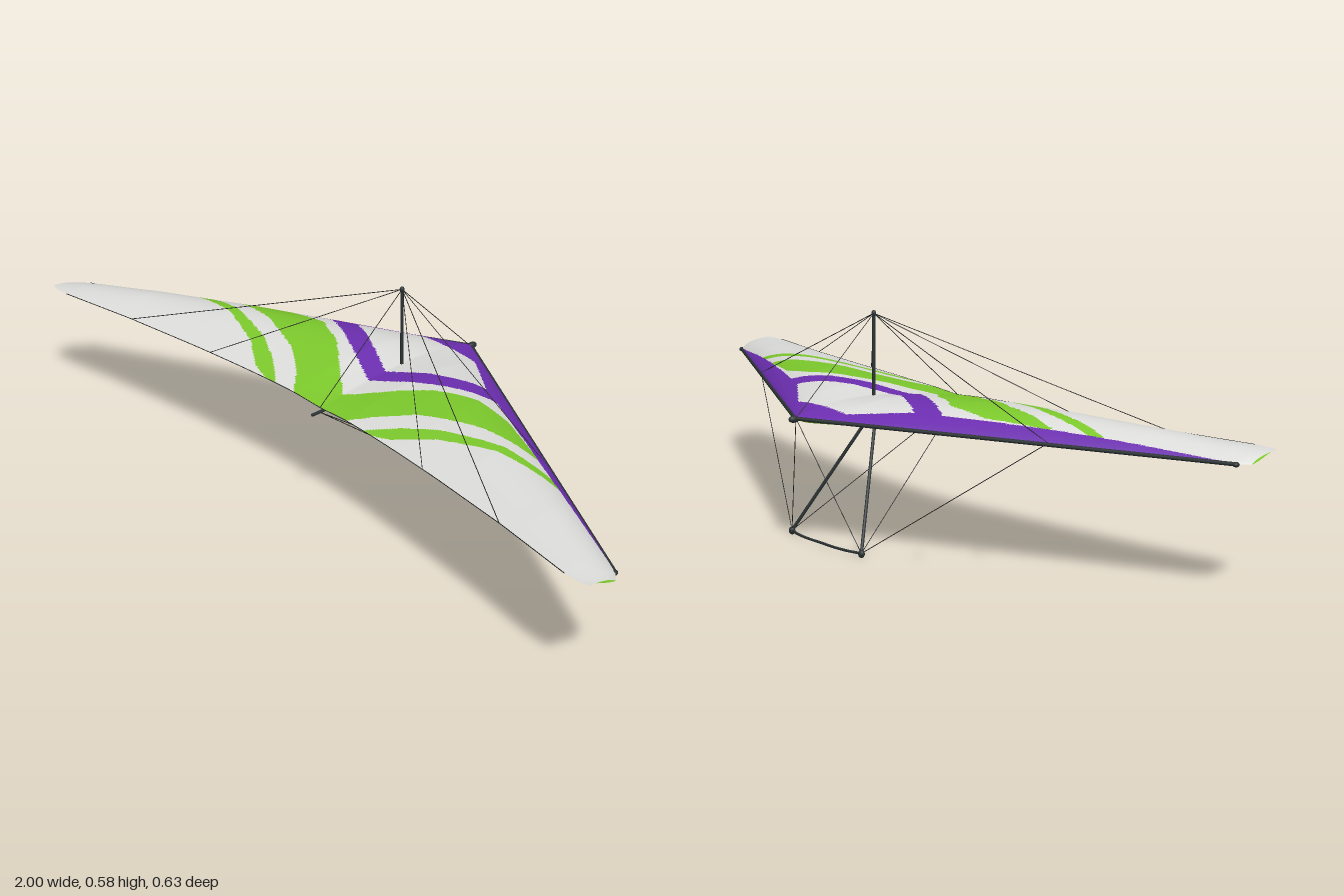
import * as THREE from 'three';

const mat = (name, color, side = THREE.FrontSide) => {
  const m = new THREE.MeshStandardMaterial({ color, side });
  m.name = name;
  return m;
};

// piecewise linear lookup of [x, value] points, clamped at the ends
function at(points, x) {
  if (x <= points[0][0]) return points[0][1];
  for (let i = 1; i < points.length; i++) {
    const [x0, y0] = points[i - 1], [x1, y1] = points[i];
    if (x <= x1) return y0 + (y1 - y0) * (x - x0) / (x1 - x0);
  }
  return points[points.length - 1][1];
}

// planform and section tables over the half span
const LEAD_Z = [[0, -0.3], [0.975, 0.202], [1, 0.228]];
const LEAD_Y = [[0, 0.335], [1, 0.322]];
const TRAIL_Z = [[0, 0.208], [0.1, 0.211], [0.2, 0.218], [0.45, 0.243], [0.7, 0.275], [0.93, 0.314], [0.98, 0.316], [1, 0.308]];
const TRAIL_Y = [[0, 0.333], [0.1, 0.339], [0.3, 0.343], [1, 0.345]];
const CAMBER = [[0, 0.029], [0.05, 0.034], [0.1, 0.04], [0.2, 0.045], [0.3, 0.047], [0.5, 0.045], [0.75, 0.032], [0.93, 0.016], [1, 0.006]];
const BELLY = [[0, 0.027], [0.1, 0.022], [0.3, 0.01], [0.6, 0.005], [1, 0.001]];
const LOWER_END = 0.78;

const mix = THREE.MathUtils.lerp;
function upper(x, u) {
  const a = Math.abs(x);
  const y = mix(at(LEAD_Y, a), at(TRAIL_Y, a), u) + at(CAMBER, a) * Math.sin(Math.PI * Math.pow(u, 0.75));
  return [x, y, mix(at(LEAD_Z, a), at(TRAIL_Z, a), u)];
}
function lower(x, v) {
  const a = Math.abs(x), u = v * LOWER_END, p = upper(x, u);
  const y = mix(at(LEAD_Y, a), at(TRAIL_Y, a), u) - at(BELLY, a) * Math.sin(Math.PI * Math.pow(v, 0.65));
  p[1] = mix(y, p[1] - 0.0005, v * v * v);
  return p;
}

// sail graphics: colour index 0 white, 1 purple, 2 lime
const PURPLE_EDGE = [[0, 0.052], [0.25, -0.065], [0.31, -0.092], [0.62, 0.05], [0.98, 0.205]];
const PANEL_FRONT = [[0, -0.22], [0.1, -0.22], [0.24, -0.122]];
const PANEL_BACK = [[0, -0.005], [0.24, -0.122]];
const WIDE = [
  [[0, 0.135], [0.1, 0.06], [0.18, 0], [0.29, -0.048], [0.4, -0.04], [0.53, 0.01]],
  [[0, 0.3], [0.1, 0.21], [0.15, 0.16], [0.235, 0.1], [0.4, 0.045], [0.55, 0.028]]];
const SLIM = [
  [[0.17, 0.21], [0.24, 0.16], [0.33, 0.115], [0.5, 0.068], [0.7, 0.058]],
  [[0.19, 0.22], [0.25, 0.205], [0.35, 0.145], [0.5, 0.095], [0.72, 0.075]]];
const UNDER = [
  [[0.12, 0.12], [0.2, 0.075], [0.3, 0.035], [0.45, 0.005], [0.6, 0.005]],
  [[0.12, 0.16], [0.2, 0.13], [0.3, 0.095], [0.45, 0.065], [0.62, 0.05]]];
const inside = ([front, back], a, z, min, max) => a >= min && a <= max && z > at(front, a) && z < at(back, a);

function upperColour(x, z) {
  const a = Math.abs(x);
  if (inside([PANEL_FRONT, PANEL_BACK], a, z, 0, 1)) return 0;
  if (z < at(PURPLE_EDGE, a)) return 1;
  return inside(WIDE, a, z, 0, 0.56) || inside(SLIM, a, z, 0.17, 0.72) ? 2 : 0;
}
const lowerColour = (x, z) => inside(UNDER, Math.abs(x), z, 0.12, 0.62) ? 1 : 2;

// grid surface sorted into one geometry group per colour
function sailSurface(name, point, colour, cols, rows, up, materials) {
  const pos = [], lists = materials.map(() => []);
  for (let i = 0; i <= cols; i++)
    for (let j = 0; j <= rows; j++) pos.push(...point(-1 + 2 * i / cols, j / rows));
  for (let i = 0; i < cols; i++)
    for (let j = 0; j < rows; j++) {
      const a = i * (rows + 1) + j, b = a + 1, c = a + rows + 1, d = c + 1;
      for (const t of [[a, b, c], [b, d, c]]) {
        const mean = k => (pos[t[0] * 3 + k] + pos[t[1] * 3 + k] + pos[t[2] * 3 + k]) / 3;
        lists[colour(mean(0), mean(2))].push(...(up ? t : [t[0], t[2], t[1]]));
      }
    }
  const g = new THREE.BufferGeometry();
  g.setAttribute('position', new THREE.Float32BufferAttribute(pos, 3));
  g.setIndex(lists.flat());
  let start = 0;
  lists.forEach((l, k) => {
    if (l.length) g.addGroup(start, l.length, k);
    start += l.length;
  });
  g.computeVertexNormals();
  const mesh = new THREE.Mesh(g, materials);
  mesh.name = name;
  return mesh;
}

export function createModel() {
  const group = new THREE.Group();
  const sail = [mat('white sail', 0xdcdcda, THREE.DoubleSide), mat('purple sail', 0x6c2eb0, THREE.DoubleSide), mat('lime sail', 0x7cc92c, THREE.DoubleSide)];
  const frame = mat('dark frame', 0x2c3334);
  const wire = mat('wire', 0x222424);

  const add = (name, geometry, material) => {
    const m = new THREE.Mesh(geometry, material);
    m.name = name;
    group.add(m);
    return m;
  };
  const rod = (name, a, b, r, material = frame, sides = 10) => {
    const p = new THREE.Vector3(...a), q = new THREE.Vector3(...b), d = q.clone().sub(p);
    const m = add(name, new THREE.CylinderGeometry(r, r, d.length(), sides), material);
    m.position.copy(p).add(q).multiplyScalar(0.5);
    m.quaternion.setFromUnitVectors(new THREE.Vector3(0, 1, 0), d.normalize());
  };
  const tube = (name, points, r, material, segments = 40) =>
    add(name, new THREE.TubeGeometry(new THREE.CatmullRomCurve3(points.map(p => new THREE.Vector3(...p))), segments, r, 8), material);
  const ball = (name, p, sx, sy, sz) => {
    const m = add(name, new THREE.SphereGeometry(1, 16, 12), frame);
    m.position.set(...p);
    m.scale.set(sx, sy, sz);
  };

  // sail
  group.add(sailSurface('upperSail', upper, upperColour, 360, 90, true, sail));
  group.add(sailSurface('lowerSail', lower, lowerColour, 240, 50, false, sail));

  // trailing edge cord
  const edge = [];
  for (let i = -20; i <= 20; i++) edge.push(upper(i / 20 * 0.93, 1));
  tube('trailingEdgeCord', edge, 0.001, wire, 80);

  // keel, nose and kingpost
  const top = [0, 0.568, -0.06], nose = [0, 0.333, -0.298], tail = [0, 0.323, 0.212];
  rod('keel', [0, 0.331, -0.3], [0, 0.322, 0.235], 0.004);
  ball('noseCap', [0, 0.332, -0.304], 0.009, 0.009, 0.015);
  rod('kingpost', [0, 0.31, -0.06], top, 0.0042);
  ball('kingpostCap', top, 0.006, 0.008, 0.006);
  const hook = add('hangLoop', new THREE.TorusGeometry(0.007, 0.002, 8, 20), frame);
  hook.position.set(0, 0.309, -0.06);
  hook.rotation.y = Math.PI / 2;

  // control bar
  tube('controlBar', [[-0.145, 0.011, -0.21], [-0.1, 0.011, -0.222], [-0.05, 0.011, -0.227], [0, 0.011, -0.226],
    [0.05, 0.011, -0.227], [0.1, 0.011, -0.222], [0.145, 0.011, -0.21]], 0.0035, frame);

  // mirrored frame tubes and rigging
  for (const s of [-1, 1]) {
    const corner = [s * 0.145, 0.011, -0.21];
    const spar = [s * 0.58, 0.33, 0.0];
    rod('leadingEdgeTube', [0, 0.333, -0.3], [s * 0.978, 0.322, 0.205], 0.0048);
    ball('tipCap', [s * 0.975, 0.321, 0.205], 0.007, 0.006, 0.009);
    rod('controlUpright', [s * 0.008, 0.318, -0.06], corner, 0.0042);
    ball('cornerJoint', [corner[0], 0.01, corner[2]], 0.009, 0.01, 0.008);
    for (const end of [nose, spar, tail]) rod('lowerWire', corner, end, 0.001, wire, 6);
    rod('upperSideWire', top, spar, 0.001, wire, 6);
    for (const x of [0.4, 0.69]) rod('upperTrailingWire', top, upper(s * x, 1), 0.001, wire, 6);
  }
  rod('upperNoseWire', top, nose, 0.001, wire, 6);
  rod('upperTailWire', top, [0, 0.335, 0.208], 0.001, wire, 6);

  return group;
}
